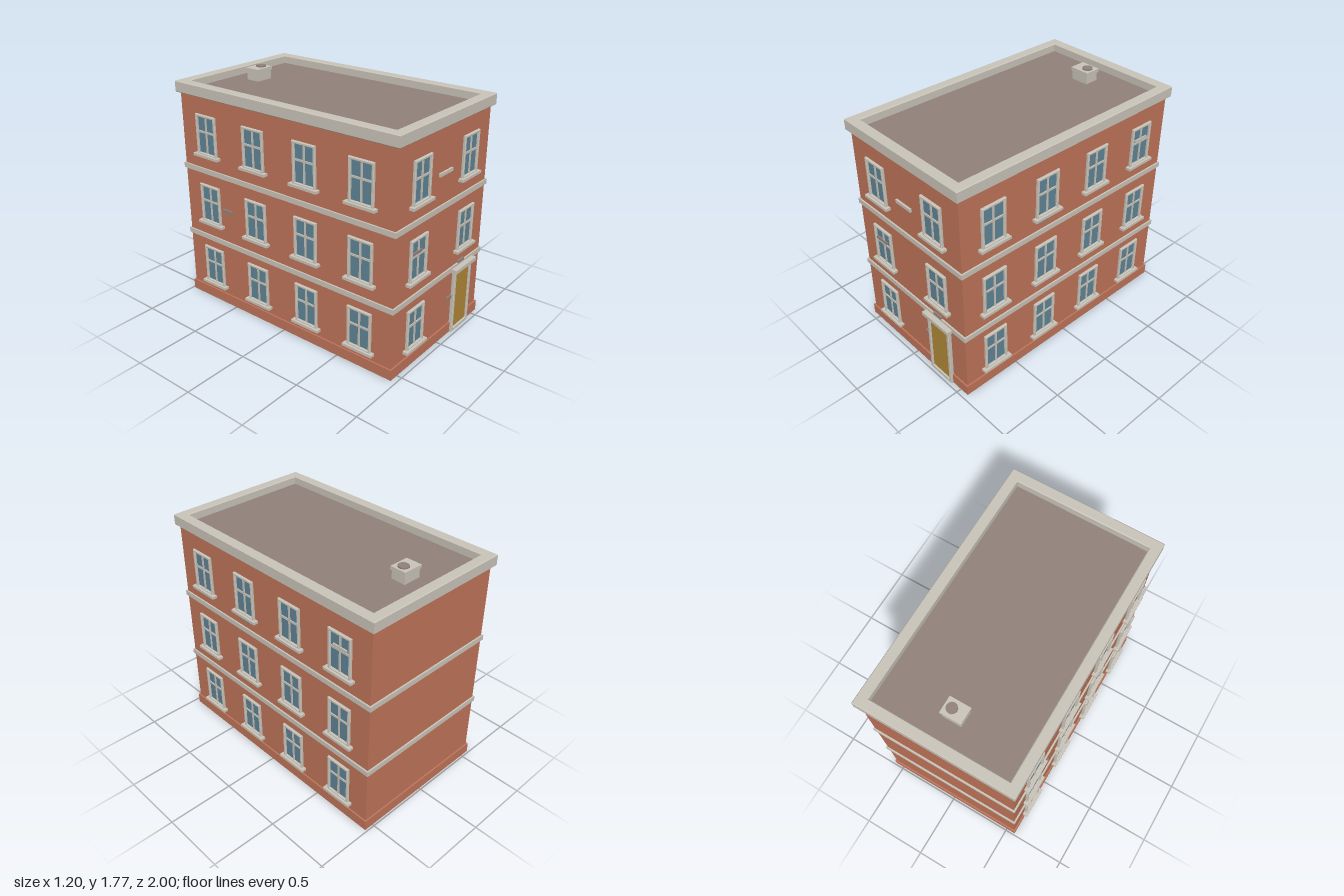
import * as THREE from 'three';

const mat = (name, color) => {
  const m = new THREE.MeshStandardMaterial({ color });
  m.name = name;
  return m;
};

export function createModel() {
  const brick = mat('brick', 0xbf7459);
  const trim = mat('stone trim', 0xc9c4b9);
  const glass = mat('window glass', 0x5f8496);
  const roofing = mat('roofing', 0x91827a);
  const doorPaint = mat('door paint', 0xb08838);

  const model = new THREE.Group();
  model.name = 'building';
  const CZ = -0.0125;              // centre of the block in z
  const HX = 0.561, HZ = 0.961;    // half sizes of the brick walls

  const add = (parent, name, geometry, material, x = 0, y = 0, z = 0) => {
    const m = new THREE.Mesh(geometry, material);
    m.name = name;
    m.position.set(x, y, z);
    parent.add(m);
    return m;
  };
  // Box given by its limits in each axis
  const box = (parent, name, material, x0, x1, y0, y1, z0, z1) =>
    add(parent, name, new THREE.BoxGeometry(x1 - x0, y1 - y0, z1 - z0), material,
      (x0 + x1) / 2, (y0 + y1) / 2, (z0 + z1) / 2);
  // Storey-wide slab that stands out from the walls by o
  const slab = (name, material, o, y0, y1) =>
    box(model, name, material, -HX - o, HX + o, y0, y1, CZ - HZ - o, CZ + HZ + o);
  // Rectangular ring with bevelled edges, from z = 0 to z = depth
  const ring = (w, h, inW, inH, depth, bevel) => {
    const rect = (P, a, b) => new P([[-a, -b], [a, -b], [a, b], [-a, b]]
      .map(([x, y]) => new THREE.Vector2(x, y)));
    const shape = rect(THREE.Shape, w / 2 - bevel, h / 2 - bevel);
    shape.holes.push(rect(THREE.Path, inW / 2 + bevel, inH / 2 + bevel));
    const g = new THREE.ExtrudeGeometry(shape, {
      depth: depth - 2 * bevel, bevelSize: bevel, bevelThickness: bevel, bevelSegments: 1,
    });
    return g.translate(0, 0, bevel);
  };

  // Walls, plinth and storey bands
  slab('walls', brick, 0, 0.04, 1.66);
  slab('plinth', brick, 0.012, 0, 0.08);
  slab('lowerBand', trim, 0.012, 0.509, 0.548);
  slab('upperBand', trim, 0.012, 1.057, 1.096);

  // Roof and parapet
  box(model, 'roof', roofing, -0.53, 0.53, 1.65, 1.67, CZ - 0.93, CZ + 0.93);
  const parapet = add(model, 'parapet', ring(1.174, 1.975, 1.02, 1.82, 0.085, 0.006), trim, 0, 1.645, CZ);
  parapet.rotation.x = -Math.PI / 2;

  // Roof vent
  const vent = new THREE.Group();
  vent.name = 'roofVent';
  model.add(vent);
  box(vent, 'ventBody', trim, -0.07, 0.07, 1.665, 1.74, -0.775, -0.665);
  box(vent, 'ventLid', trim, -0.077, 0.079, 1.735, 1.762, -0.782, -0.658);
  add(vent, 'ventCap', new THREE.CylinderGeometry(0.039, 0.039, 0.012, 12), roofing, 0.025, 1.766, -0.72);

  // Window: local +z points out of the wall, y = 0 is the foot of the frame
  const W = 0.2, H = 0.31;
  const frameGeo = ring(W, H, W - 0.038, H - 0.038, 0.022, 0.004);
  const makeWindow = () => {
    const g = new THREE.Group();
    g.name = 'window';
    add(g, 'frame', frameGeo, trim, 0, H / 2, 0);
    box(g, 'pane', glass, -W / 2 + 0.012, W / 2 - 0.012, 0.012, H - 0.012, -0.002, 0.006);
    box(g, 'mullion', trim, -0.007, 0.007, 0.015, H - 0.015, 0, 0.013);
    box(g, 'crossBar', trim, -W / 2 + 0.015, W / 2 - 0.015, 0.172, 0.187, 0, 0.013);
    box(g, 'sill', trim, -0.124, 0.124, -0.011, 0.009, 0, 0.04);
    return g;
  };
  const place = (x, y, z, turn) => {
    const w = makeWindow();
    w.position.set(x, y, z);
    w.rotation.y = turn;
    model.add(w);
  };
  const front = CZ + HZ;
  [0.138, 0.66, 1.205].forEach((y, floor) => {
    place(-0.3, y, front, 0);
    if (floor > 0) place(0.3, y, front, 0);
    for (const side of [-1, 1]) {
      for (let i = 0; i < 4; i++) {
        place(side * HX, y, CZ + (i - 1.5) * 0.468, side * Math.PI / 2);
      }
    }
  });

  // Entrance door
  const door = new THREE.Group();
  door.name = 'door';
  door.position.set(0.297, 0, front);
  model.add(door);
  add(door, 'doorFrame', ring(0.234, 0.5, 0.184, 0.445, 0.03, 0.004), trim, 0, 0.25, 0);
  box(door, 'doorLeaf', doorPaint, -0.1, 0.1, 0.02, 0.48, 0, 0.018);
  box(door, 'canopy', trim, -0.141, 0.141, 0.502, 0.53, 0, 0.0515);
  box(door, 'canopyFoot', trim, -0.122, 0.122, 0.492, 0.504, 0, 0.042);

  // Small fixtures on the walls
  box(model, 'frontLedge', trim, -0.085, 0.074, 1.31, 1.334, front, front + 0.015);
  box(model, 'windowBar', roofing, -0.38, -0.26, 0.852, 0.872, front, front + 0.016);
  box(model, 'doorBracket', roofing, 0.12, 0.18, 0.291, 0.312, front, front + 0.012);
  box(model, 'canopyLight', roofing, 0.24, 0.322, 0.545, 0.564, front, front + 0.014);
  box(model, 'sideLedge', roofing, HX, HX + 0.008, 1.147, 1.17, 0.18, 0.297);
  box(model, 'sideBar', trim, HX, HX + 0.016, 1.396, 1.414, -0.775, -0.655);
  box(model, 'sideBracket', roofing, -HX - 0.012, -HX, 0.79, 0.815, -0.59, -0.49);

  return model;
}
